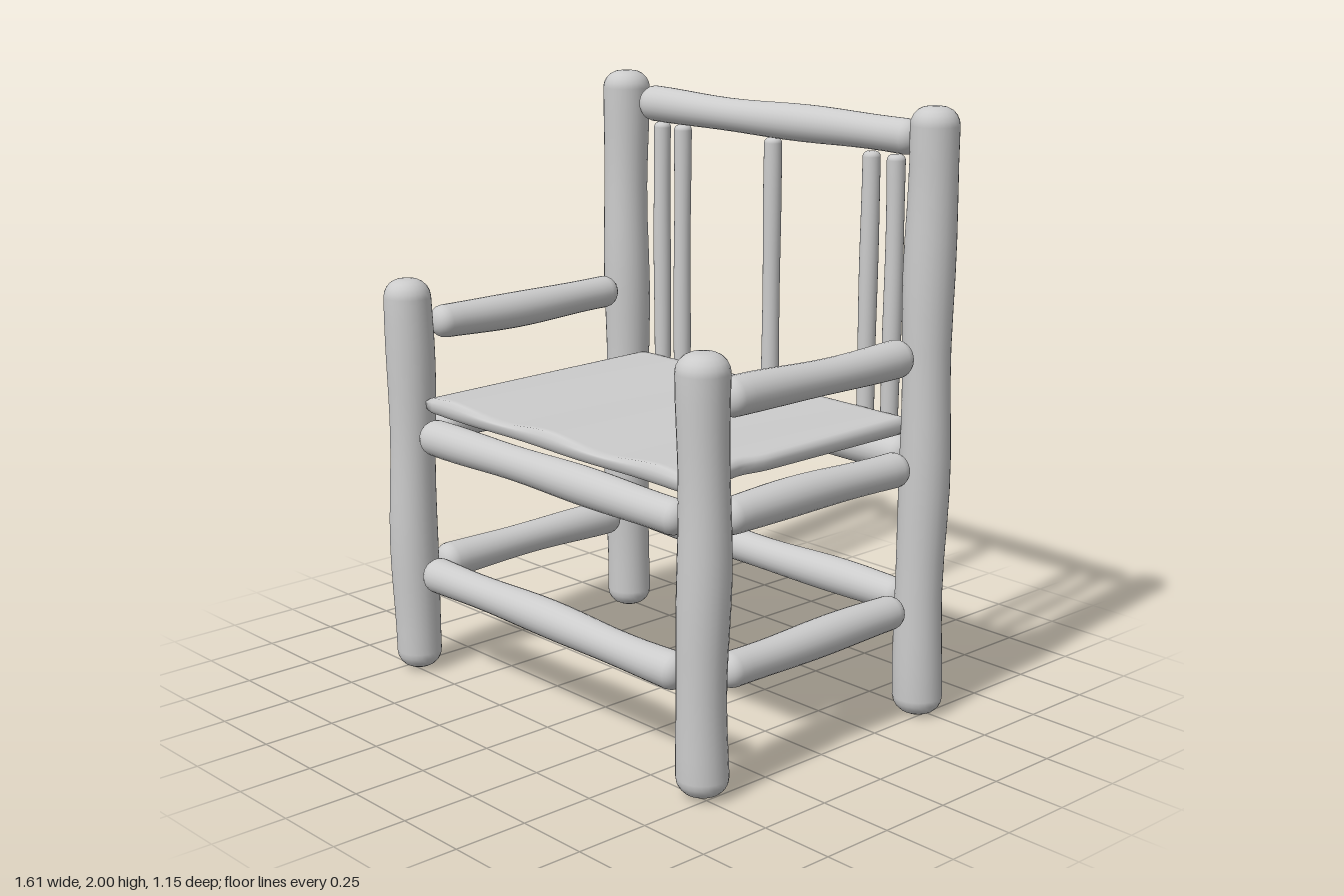
import * as THREE from 'three';
import { mergeVertices } from 'three/addons/utils/BufferGeometryUtils.js';

const material = new THREE.MeshStandardMaterial({ color: 0xcccccc });

// Weld seams and smooth the normals after vertices were moved
function smooth(geometry) {
  geometry.deleteAttribute('uv');
  geometry.deleteAttribute('normal');
  const welded = mergeVertices(geometry, 1e-4);
  welded.computeVertexNormals();
  return welded;
}

// Round-ended log along y, centred on the origin, gently uneven
function logGeometry(length, radius, round, seed, wobble) {
  const half = length / 2;
  const profile = [new THREE.Vector2(0, -half)];
  for (let i = 0; i <= 5; i++) {
    const a = (i / 5) * Math.PI / 2;
    profile.push(new THREE.Vector2(radius - round + round * Math.sin(a), -half + round - round * Math.cos(a)));
  }
  for (let i = 1; i < 16; i++) {
    profile.push(new THREE.Vector2(radius, (half - round) * (i / 8 - 1)));
  }
  for (let i = 5; i >= 0; i--) {
    const a = (i / 5) * Math.PI / 2;
    profile.push(new THREE.Vector2(radius - round + round * Math.sin(a), half - round + round * Math.cos(a)));
  }
  profile.push(new THREE.Vector2(0, half));
  const geometry = new THREE.LatheGeometry(profile, 24);
  const p = geometry.attributes.position;
  for (let i = 0; i < p.count; i++) {
    const x = p.getX(i), y = p.getY(i), z = p.getZ(i);
    const swell = 1 + wobble / radius * Math.sin(y * 9 + seed * 1.7);
    p.setXYZ(i,
      x * swell + wobble * Math.sin(y * 6 + seed),
      y,
      z * swell + wobble * Math.cos(y * 7 + seed * 2.3));
  }
  return smooth(geometry);
}

// Seat slab with a wavy top and slightly irregular edges
function seatGeometry(width, height, depth) {
  const geometry = new THREE.BoxGeometry(width, height, depth, 40, 4, 32);
  const p = geometry.attributes.position;
  const edge = 0.012;
  for (let i = 0; i < p.count; i++) {
    let x = p.getX(i), y = p.getY(i), z = p.getZ(i);
    const front = z / depth + 0.5;
    const inset = Math.abs(y) > height / 2 - 1e-4 ? edge : 0;
    const u = x;
    x -= Math.sign(x) * inset * Math.pow(Math.abs(x) / (width / 2), 20);
    z -= Math.sign(z) * inset * Math.pow(Math.abs(z) / (depth / 2), 20);
    if (y > 0) y -= (y / (height / 2)) * 0.009 * front * (1 - Math.cos(u * 12.5));
    z += 0.004 * Math.sin(u * 11) * front;
    if (u > width / 2 - 0.03) x -= 0.015 * Math.exp(-Math.pow((z - 0.23) / 0.06, 2));
    p.setXYZ(i, x, y, z);
  }
  return smooth(geometry);
}

export function createModel() {
  const chair = new THREE.Group();
  chair.name = 'logChair';
  let seed = 1;

  function addLog(name, axis, length, radius, round, position, wobble = 0.003) {
    const mesh = new THREE.Mesh(logGeometry(length, radius, round, seed++, wobble), material);
    mesh.name = name;
    mesh.position.set(...position);
    if (axis === 'x') mesh.rotation.z = -Math.PI / 2;
    if (axis === 'z') mesh.rotation.x = Math.PI / 2;
    chair.add(mesh);
  }

  for (const [side, s] of [['left', 1], ['right', -1]]) {
    // Posts
    addLog(side + 'FrontPost', 'y', 1.37, 0.08, 0.06, [s * 0.718, 0.692, 0.488]);
    addLog(side + 'BackPost', 'y', 2, 0.08, 0.06, [s * 0.718, 1, -0.488]);
    // Armrest, seat rail and stretcher on each side
    addLog(side + 'Armrest', 'z', 0.805, 0.059, 0.048, [s * 0.698, 1.215, -0.002]);
    addLog(side + 'SeatRail', 'z', 0.805, 0.059, 0.048, [s * 0.698, 0.855, -0.002]);
    addLog(side + 'Stretcher', 'z', 0.805, 0.059, 0.048, [s * 0.698, 0.368, -0.002]);
  }

  // Cross rails
  for (const [side, z] of [['front', 0.485], ['back', -0.508]]) {
    addLog(side + 'SeatRail', 'x', 1.265, 0.059, 0.048, [0, 0.855, z]);
    addLog(side + 'Stretcher', 'x', 1.265, 0.059, 0.048, [0, 0.368, z]);
  }
  addLog('topRail', 'x', 1.265, 0.059, 0.048, [0, 1.89, -0.51]);

  // Back spindles
  for (const x of [-0.55, -0.445, -0.002, 0.44, 0.547]) {
    addLog('backSpindle', 'y', 0.91, 0.03, 0.018, [x, 1.375, -0.51], 0.001);
  }

  // Seat
  const seat = new THREE.Mesh(seatGeometry(1.265, 0.06, 0.985), material);
  seat.name = 'seat';
  seat.position.set(0, 0.962, -0.002);
  chair.add(seat);

  return chair;
}
